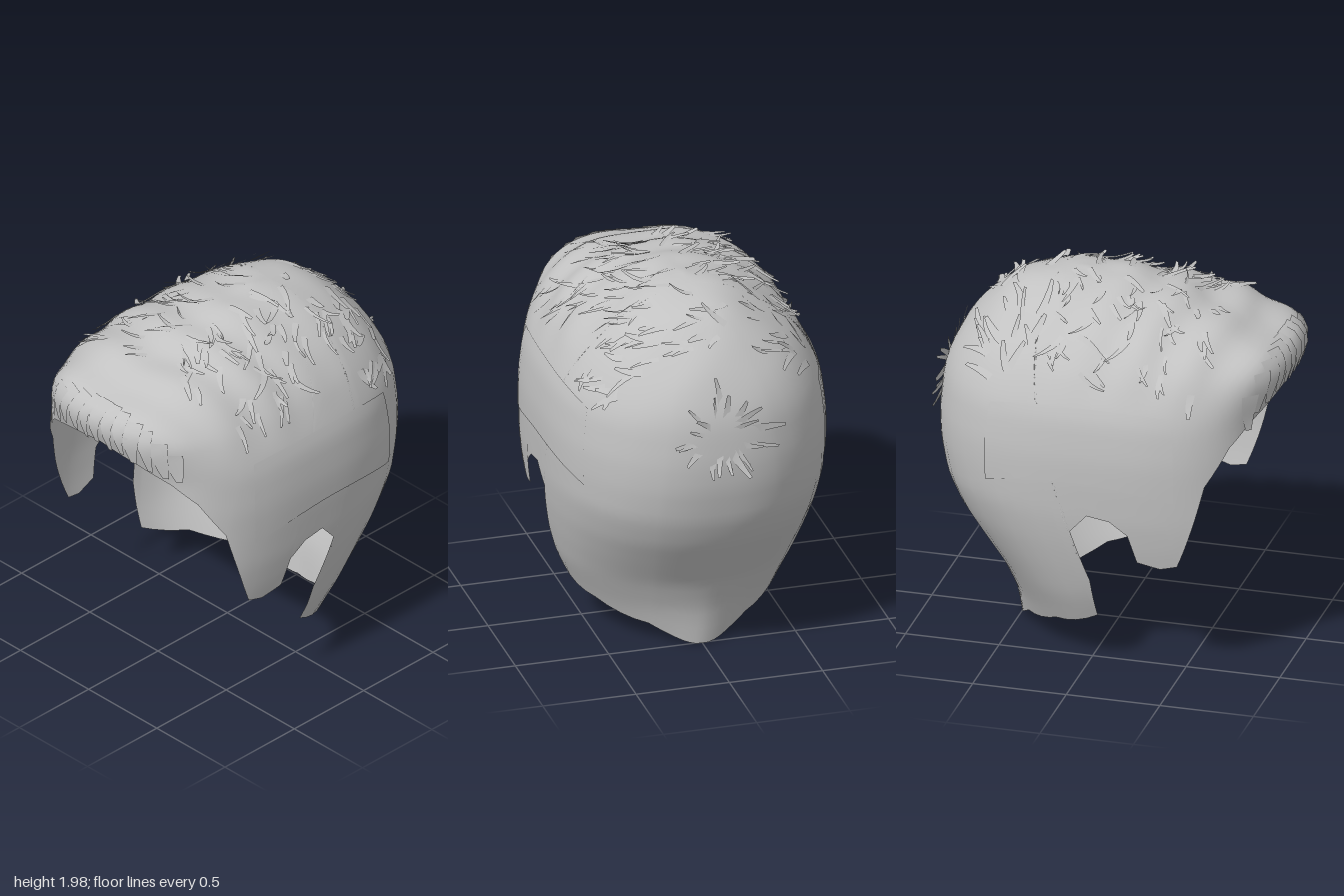
import * as THREE from 'three';
import { mergeVertices, mergeGeometries } from 'three/addons/utils/BufferGeometryUtils.js';

const V = (x, y, z) => new THREE.Vector3(x, y, z);
const CENTRE = V(0, 0.95, 0);

// head profile by height: [y, half width, front z, back z, middle z]
const PROFILE = [
  [-0.2, 0.44, 1, 0.5, 0], [0, 0.46, 1, 0.51, 0], [0.1, 0.505, 1, 0.525, 0], [0.2, 0.55, 1, 0.537, 0],
  [0.38, 0.63, 1, 0.605, 0], [0.55, 0.675, 1, 0.715, 0], [0.7, 0.705, 0.98, 0.81, 0],
  [0.85, 0.725, 0.95, 0.872, 0], [1.05, 0.735, 0.9, 0.91, 0],
  [1.2, 0.735, 0.89, 0.915, 0], [1.4, 0.71, 0.89, 0.895, 0], [1.5, 0.67, 0.925, 0.865, 0],
  [1.62, 0.605, 0.965, 0.8, 0], [1.7, 0.54, 0.915, 0.74, 0], [1.76, 0.48, 0.79, 0.69, -0.02],
  [1.81, 0.41, 0.64, 0.63, -0.05], [1.86, 0.33, 0.47, 0.57, -0.1], [1.91, 0.23, 0.25, 0.48, -0.14],
  [1.945, 0.13, 0.06, 0.35, -0.16], [1.965, 0.01, -0.16, 0.18, -0.17],
];

function lookup(y, k) {
  let i = 1;
  while (i < PROFILE.length - 1 && PROFILE[i][0] < y) i++;
  const a = PROFILE[i - 1], b = PROFILE[i];
  return THREE.MathUtils.lerp(a[k], b[k], THREE.MathUtils.clamp((y - a[0]) / (b[0] - a[0]), 0, 1));
}
const soft = (y, k) => {
  const d = Math.min(0.04, Math.max(0, (1.965 - y) / 2));
  return (lookup(y - d, k) + 2 * lookup(y, k) + lookup(y + d, k)) / 4;
};

// the nape narrows to a blunt point, the crown is fuller
function inside(p) {
  if (p.y > 1.965) return false;
  const z = p.z - soft(p.y, 4);
  const n = z > 0 ? 3 : 1.6 + 0.8 * THREE.MathUtils.clamp((p.y - 0.05) / 0.85, 0, 1);
  const reach = z > 0 ? soft(p.y, 2) - soft(p.y, 4) : soft(p.y, 3) + soft(p.y, 4);
  return Math.pow(Math.abs(p.x) / soft(p.y, 1), n) + Math.pow(Math.abs(z) / Math.max(reach, 0.005), n) < 1;
}

// point on the hair surface in a direction from the centre, with combed waves on top
function onSurface(dir, lift = 0) {
  const d = dir.clone().normalize();
  let lo = 0, hi = 1.8;
  for (let i = 0; i < 22; i++) {
    const m = (lo + hi) / 2;
    if (inside(CENTRE.clone().addScaledVector(d, m))) lo = m; else hi = m;
  }
  const p = CENTRE.clone().addScaledVector(d, lo);
  const top = THREE.MathUtils.smoothstep(p.y, 1.45, 1.75);
  const front = 0.003 + 0.008 * THREE.MathUtils.smoothstep(p.z, -0.2, 0.3);
  const wave = front * Math.sin(p.z * 22 + Math.abs(p.x) * 5) + 0.005 * Math.sin(p.x * 13 + p.z * 7);
  return p.addScaledVector(d, lift + top * wave);
}
const project = (p, lift) => onSurface(p.clone().sub(CENTRE), lift);

// grid of points joined into a smooth sheet
function sheet(rows, closed = false) {
  const n = rows[0].length, index = [];
  for (let i = 0; i < rows.length - 1; i++) {
    for (let j = 0; j < (closed ? n : n - 1); j++) {
      const k = (j + 1) % n, a = i * n + j, b = a + n, c = i * n + k, d = c + n;
      index.push(a, b, c, c, b, d);
    }
  }
  let g = new THREE.BufferGeometry().setFromPoints(rows.flat());
  g.setIndex(index);
  g = mergeVertices(g, 1e-5);
  g.computeVertexNormals();
  return g;
}

// hairline from the middle of the forehead round the ear to the nape
const HAIRLINE = [
  [0, 1.5, 0.91], [0.25, 1.46, 0.89], [0.43, 1.39, 0.83], [0.54, 1.28, 0.74], [0.61, 1.08, 0.61],
  [0.65, 0.85, 0.56], [0.68, 0.62, 0.51], [0.69, 0.6, 0.42], [0.69, 0.64, 0.29], [0.7, 0.8, 0.24],
  [0.72, 0.87, 0.15], [0.72, 0.89, 0.03], [0.71, 0.79, -0.06], [0.69, 0.65, -0.03], [0.66, 0.5, 0.03],
  [0.58, 0.27, 0.05], [0.49, 0.175, -0.2], [0.26, 0.1, -0.41], [0.13, 0.035, -0.47], [0, 0, -0.51],
].map((p) => V(...p));

function hairShell() {
  const half = [];
  for (let i = 0; i < HAIRLINE.length - 1; i++) {
    for (let k = 0; k < 4; k++) half.push(HAIRLINE[i].clone().lerp(HAIRLINE[i + 1], k / 4));
  }
  half.push(HAIRLINE[HAIRLINE.length - 1]);
  const mirrored = half.slice(1, -1).reverse().map((p) => V(-p.x, p.y, p.z));
  const edge = half.concat(mirrored).map((p) => p.clone().sub(CENTRE).normalize());
  const pole = V(0, Math.cos(0.28), -Math.sin(0.28));
  const rows = [];
  for (let i = 0; i <= 44; i++) {
    const t = i / 44;
    rows.push(edge.map((e) => {
      const a = pole.angleTo(e);
      return onSurface(pole.clone().multiplyScalar(Math.sin((1 - t) * a)).addScaledVector(e, Math.sin(t * a)));
    }));
  }
  return sheet(rows, true);
}

// clipped layer above one ear, s = 1 for the left side
function sideLayer(s) {
  const rows = [];
  for (let i = 0; i <= 8; i++) {
    const row = [];
    for (let j = 0; j <= 14; j++) {
      const u = j / 14;
      const y = THREE.MathUtils.lerp(1.5, 1 + 0.07 * Math.sin(u * Math.PI), i / 8);
      row.push(project(V(s * 0.72, y, -0.05 - s * 1.1 * (u - 0.5)), 0.005));
    }
    rows.push(row);
  }
  return sheet(rows);
}

// tapered strip of hair lying on the surface, its tip lifting away
function lock(start, along, length, width, lift, bend = 0, base = 0.003) {
  const out = start.clone().sub(CENTRE).normalize();
  const dir = along.clone().addScaledVector(out, -along.dot(out)).normalize();
  const side = V(0, 0, 0).crossVectors(dir, out);
  const rows = [];
  for (let i = 0; i <= 4; i++) {
    const t = i / 4, w = (width / 2) * (1 - 0.6 * t * t);
    const c = start.clone().addScaledVector(dir, length * t).addScaledVector(side, bend * t * t);
    rows.push([-1, 1].map((s) => project(c.clone().addScaledVector(side, -s * w), base + lift * t * t + s * 0.003)));
  }
  return sheet(rows);
}

export function createModel() {
  const group = new THREE.Group();
  const hair = new THREE.MeshStandardMaterial({ color: 0xc2c2c2, side: THREE.DoubleSide });
  hair.name = 'hair grey';
  const add = (geometry, name) => {
    const mesh = new THREE.Mesh(geometry, hair);
    mesh.name = name;
    group.add(mesh);
  };
  let seed = 7;
  const rnd = (a, b) => {
    seed = (seed * 16807) % 2147483647;
    return a + (b - a) * (seed / 2147483647);
  };

  add(hairShell(), 'hairShell');
  add(sideLayer(1), 'leftSideLayer');
  add(sideLayer(-1), 'rightSideLayer');

  // rolled fringe locks following the arched hairline
  const fringe = [];
  for (let i = 0; i < 13; i++) {
    const x = -0.48 + i * 0.08, drop = x * x;
    const start = V(x * 0.88, 1.75 - drop * 0.95 + rnd(-0.02, 0.02), 0.9 - drop * 0.5);
    const length = 0.25 - drop * 0.4 + rnd(-0.02, 0.01);
    fringe.push(lock(start, V(x * 0.5, -1, 0.1), length, rnd(0.08, 0.12), 0.006, rnd(-0.03, 0.03), 0.007));
  }
  add(mergeGeometries(fringe), 'fringeLocks');

  // loose strands combed over the top, broader towards the crown
  const strands = [];
  for (let i = 0; i < 170; i++) {
    const x = rnd(-0.58, 0.58), z = rnd(-0.72, 0.58);
    const y = 1.93 - 0.95 * x * x - 0.2 * z * z;
    const crown = z < -0.3;
    const along = crown ? V(rnd(0.4, 1), 0, rnd(-0.5, 0.6)) : V(Math.sign(x) * rnd(0.3, 1), 0, rnd(-0.2, 0.7));
    const width = crown ? rnd(0.02, 0.05) : rnd(0.014, 0.036);
    strands.push(lock(V(x, y, z), along, rnd(0.08, 0.19), width, rnd(0.008, 0.045), rnd(-0.05, 0.05)));
  }
  add(mergeGeometries(strands), 'topStrands');

  // whorl at the back of the head, its roots sunk through the shell
  const whorl = [];
  for (let i = 0; i < 20; i++) {
    const a = (i / 20) * Math.PI * 2 + rnd(-0.2, 0.2), r = rnd(0.04, 0.13);
    const along = V(Math.cos(a), Math.sin(a), 0);
    const start = V(r * along.x, 1.34 + r * along.y, -0.88);
    whorl.push(lock(start, along, rnd(0.11, 0.21), rnd(0.02, 0.045), rnd(0.025, 0.06), rnd(-0.04, 0.04), -0.006));
  }
  add(mergeGeometries(whorl), 'backWhorl');

  return group;
}
